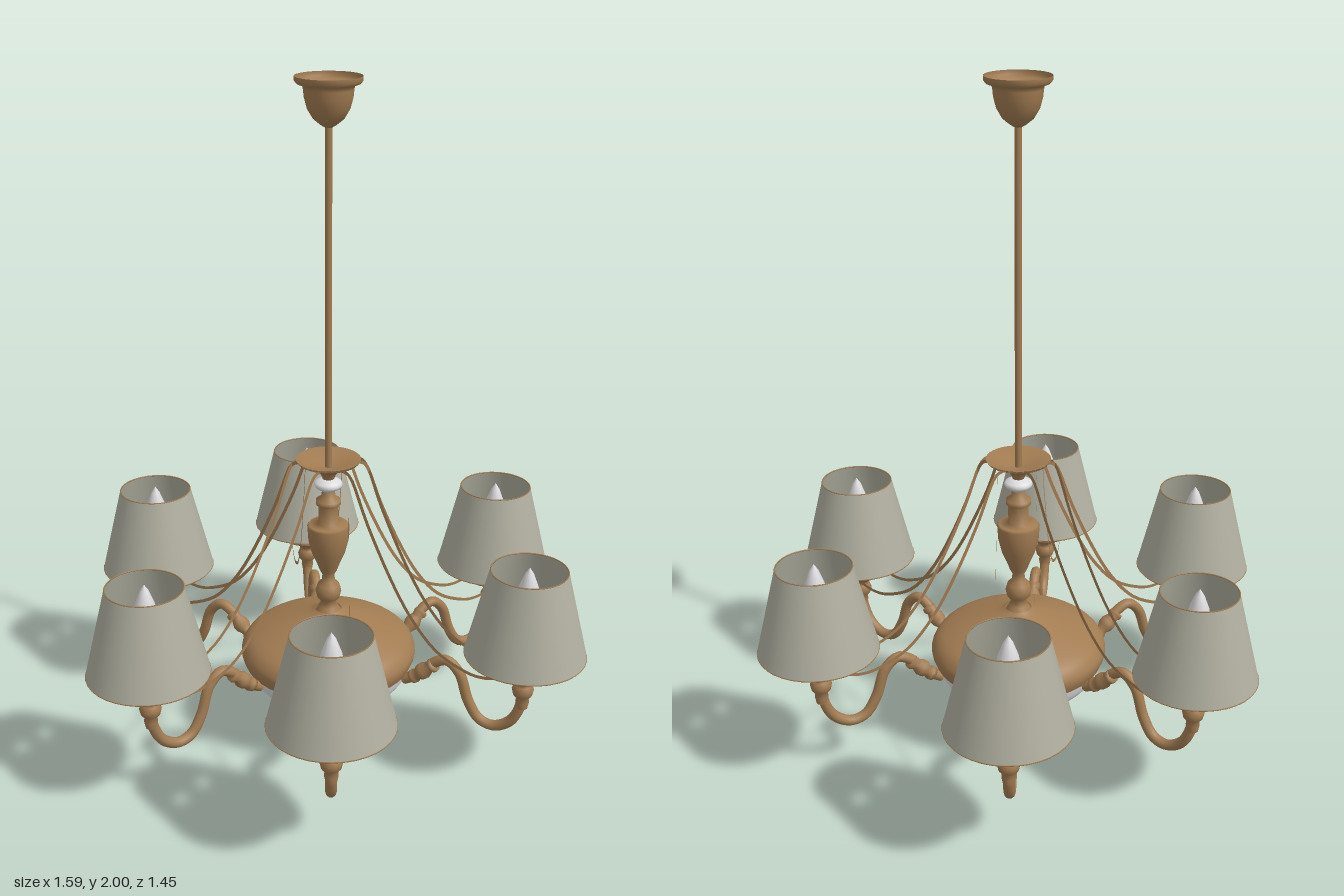
import * as THREE from 'three';

const mat = (name, color, double) => {
  const m = new THREE.MeshStandardMaterial({ color });
  m.name = name;
  if (double) m.side = THREE.DoubleSide;
  return m;
};
const brass = mat('brass', 0xa27c52, true);
const fabric = mat('shade fabric', 0xb0afa0, true);
const glass = mat('white glass', 0xdcdcde);

const add = (parent, name, geometry, material) => {
  const mesh = new THREE.Mesh(geometry, material);
  mesh.name = name;
  parent.add(mesh);
  return mesh;
};
// Turned part from [radius, height] pairs listed upwards
const turned = (pairs, sides = 24, smooth = 0) => {
  let pts = pairs.map(([r, y]) => new THREE.Vector2(r, y));
  if (smooth) pts = new THREE.SplineCurve(pts).getPoints(smooth);
  pts.forEach(p => { p.x = Math.max(p.x, 0); });
  return new THREE.LatheGeometry(pts, sides);
};

// Flat upright strap hanging from the crown to a drip tray
function strapGeometry() {
  const curve = new THREE.SplineCurve([
    [0.07, 0.905], [0.1, 0.88], [0.15, 0.75], [0.22, 0.6], [0.29, 0.48],
    [0.37, 0.39], [0.46, 0.345], [0.52, 0.338], [0.57, 0.352],
  ].map(p => new THREE.Vector2(...p)));
  const upper = [], lower = [];
  for (let i = 0; i <= 32; i++) {
    const p = curve.getPoint(i / 32), t = curve.getTangent(i / 32);
    const n = new THREE.Vector2(-t.y, t.x).multiplyScalar(0.005);
    upper.push(p.clone().add(n));
    lower.unshift(p.clone().sub(n));
  }
  return new THREE.ShapeGeometry(new THREE.Shape([...upper, ...lower]));
}

// One arm with its lamp, reaching along +x
function createArm() {
  const arm = new THREE.Group();
  const path = new THREE.CatmullRomCurve3([
    [0.25, 0.235], [0.3, 0.265], [0.345, 0.315], [0.385, 0.333], [0.425, 0.3],
    [0.455, 0.215], [0.49, 0.162], [0.535, 0.15], [0.585, 0.178], [0.614, 0.235], [0.62, 0.3],
  ].map(([x, y]) => new THREE.Vector3(x, y, 0)));
  add(arm, 'curvedArm', new THREE.TubeGeometry(path, 48, 0.016, 10), brass);

  const collar = add(arm, 'armCollar', turned([
    [0, -0.05], [0.02, -0.048], [0.022, -0.035], [0.014, -0.03], [0.024, -0.012],
    [0.025, 0.005], [0.016, 0.025], [0.022, 0.035], [0.02, 0.046], [0, 0.05],
  ], 14), brass);
  collar.position.set(0.313, 0.28, 0);
  collar.rotation.z = -0.85;

  const lamp = new THREE.Group();
  lamp.name = 'lamp';
  lamp.position.x = 0.62;
  arm.add(lamp);
  add(lamp, 'lampCup', turned([
    [0.016, 0.235], [0.02, 0.255], [0.018, 0.268], [0.028, 0.28], [0.032, 0.297],
    [0.026, 0.312], [0.02, 0.318], [0.03, 0.328], [0.045, 0.343], [0.06, 0.353],
    [0.092, 0.366], [0.09, 0.37],
  ]), brass);
  add(lamp, 'dripTray', turned([[0, 0.352], [0.045, 0.354], [0.091, 0.369]]).scale(1, 1, 1), brass);
  add(lamp, 'candleTube', new THREE.CylinderGeometry(0.025, 0.025, 0.18, 18).translate(0, 0.44, 0), brass);
  add(lamp, 'bulb', turned([
    [0.018, 0.525], [0.03, 0.56], [0.034, 0.59], [0.028, 0.63], [0.013, 0.67], [0, 0.69],
  ], 14), glass);
  add(lamp, 'lampShade', new THREE.CylinderGeometry(0.11, 0.175, 0.265, 36, 1, true).translate(0, 0.5475, 0), fabric);
  for (const [r, y] of [[0.11, 0.68], [0.175, 0.415]]) {
    add(lamp, 'shadeRim', new THREE.TorusGeometry(r - 0.001, 0.002, 5, 36).rotateX(Math.PI / 2).translate(0, y, 0), brass);
  }

  const strap = strapGeometry();
  for (const side of [-1, 1]) add(arm, 'strap', strap, brass).position.z = side * 0.056;
  return arm;
}

export function createModel() {
  const model = new THREE.Group();
  model.name = 'chandelier';
  const body = new THREE.Group();
  body.name = 'body';
  body.position.z = -0.012;
  model.add(body);

  // Ceiling canopy and hanging rod
  add(body, 'ceilingCanopy', turned([
    [0.01, 1.865], [0.022, 1.872], [0.042, 1.888], [0.058, 1.915], [0.066, 1.945],
    [0.068, 1.965], [0.07, 1.975], [0.085, 1.98], [0.092, 1.988], [0.092, 2],
  ], 32), brass);
  add(body, 'hangingRod', new THREE.CylinderGeometry(0.01, 0.01, 1.02, 14).translate(0, 1.375, 0), brass);

  // Crown dish and turned column
  add(body, 'crown', turned([
    [0.016, 0.845], [0.022, 0.86], [0.03, 0.872], [0.055, 0.885], [0.09, 0.902], [0.095, 0.91],
    [0.06, 0.897], [0.01, 0.885],
  ], 32), brass);
  add(body, 'glassDisc', turned([
    [0, 0.805], [0.02, 0.81], [0.038, 0.822], [0.042, 0.83], [0.038, 0.838], [0.02, 0.848], [0, 0.85],
  ]), glass);
  add(body, 'column', turned([
    [0.04, 0.41], [0.028, 0.43], [0.022, 0.445], [0.034, 0.46], [0.039, 0.48], [0.033, 0.502],
    [0.02, 0.515], [0.018, 0.535], [0.026, 0.55], [0.035, 0.575], [0.05, 0.61], [0.06, 0.65],
    [0.063, 0.695], [0.058, 0.702], [0.03, 0.704], [0.03, 0.76], [0.037, 0.767], [0.037, 0.78],
    [0.022, 0.79], [0.018, 0.812],
  ], 28), brass);

  // Brass dome over a white glass bowl
  add(body, 'dome', turned([
    [0.04, 0.42], [0.06, 0.408], [0.12, 0.385], [0.19, 0.357], [0.24, 0.33],
    [0.262, 0.3], [0.264, 0.275], [0.255, 0.25],
  ].reverse(), 48, 32), brass);
  add(body, 'glassBowl', turned([
    [0, 0.112], [0.06, 0.116], [0.13, 0.136], [0.19, 0.166], [0.233, 0.205], [0.25, 0.252],
  ], 48, 28), glass);

  // Bottom finial
  add(body, 'finial', turned([
    [0, 0], [0.012, 0.003], [0.02, 0.014], [0.03, 0.03], [0.032, 0.042], [0.024, 0.058],
    [0.012, 0.066], [0.012, 0.08], [0.022, 0.09], [0.024, 0.102], [0.04, 0.112], [0.04, 0.12],
  ]), brass);
  add(body, 'finialBand', new THREE.CylinderGeometry(0.0335, 0.027, 0.018, 24, 1, true).translate(0, 0.033, 0), fabric);

  // Six unevenly turned arms
  for (const degrees of [4, 60, 125.5, 180.5, 244.5, 299.5]) {
    const arm = createArm();
    arm.name = 'arm';
    arm.rotation.y = THREE.MathUtils.degToRad(degrees);
    body.add(arm);
  }
  return model;
}
